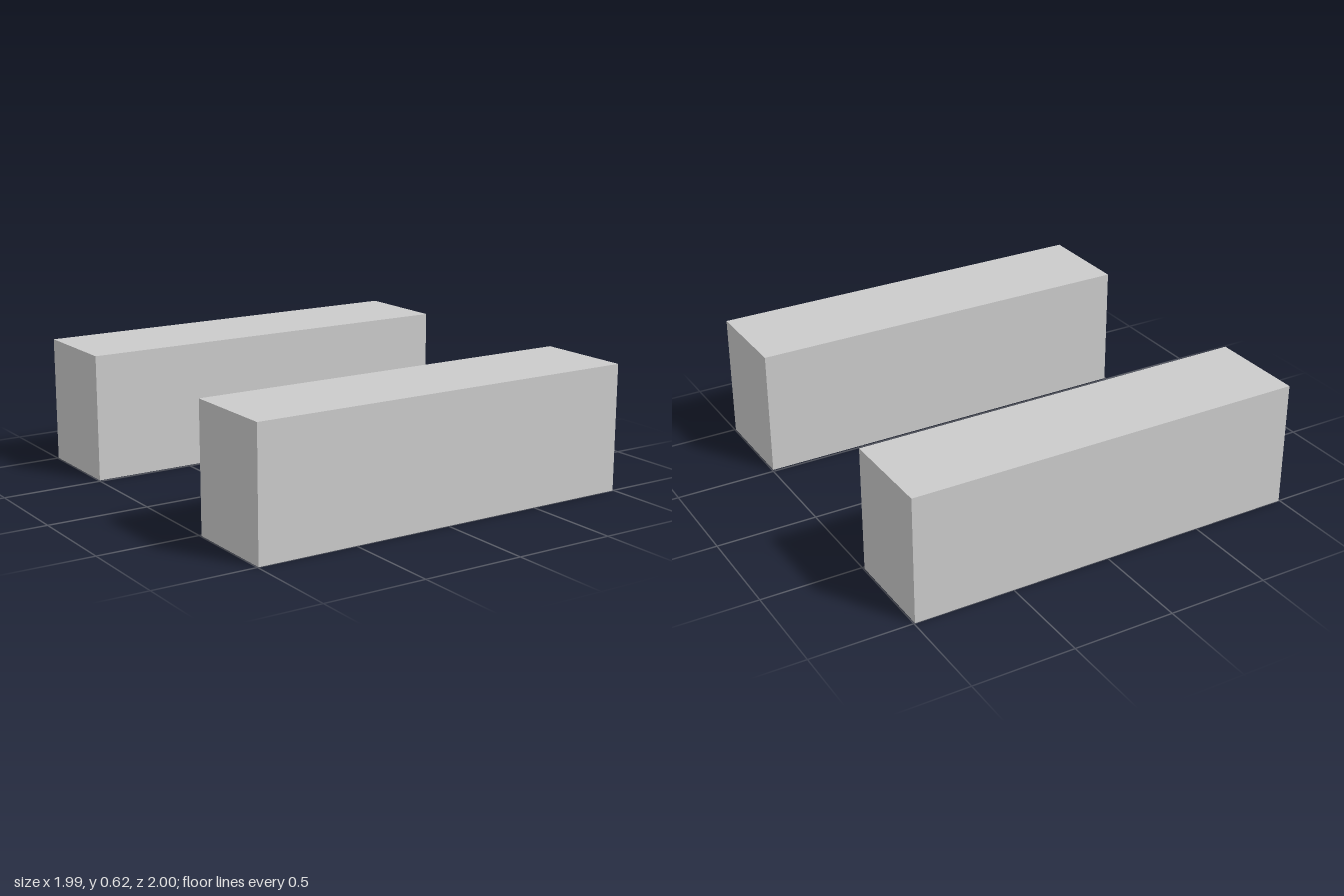
import * as THREE from 'three';

const LENGTH = 1.99, HEIGHT = 0.625, DEPTH = 0.487;

export function createModel() {
  const model = new THREE.Group();
  model.name = 'parallelBlocks';
  const material = new THREE.MeshStandardMaterial({ color: 0xcccccc, flatShading: true });
  const geometry = new THREE.BoxGeometry(LENGTH, HEIGHT, DEPTH);

  // Two matching blocks, mirrored front to back, with outer faces at z = 1 and z = -1
  for (const [name, side] of [['frontBlock', 1], ['backBlock', -1]]) {
    const block = new THREE.Mesh(geometry, material);
    block.name = name;
    block.position.set(0, HEIGHT / 2, side * (1 - DEPTH / 2));
    model.add(block);
  }
  return model;
}
